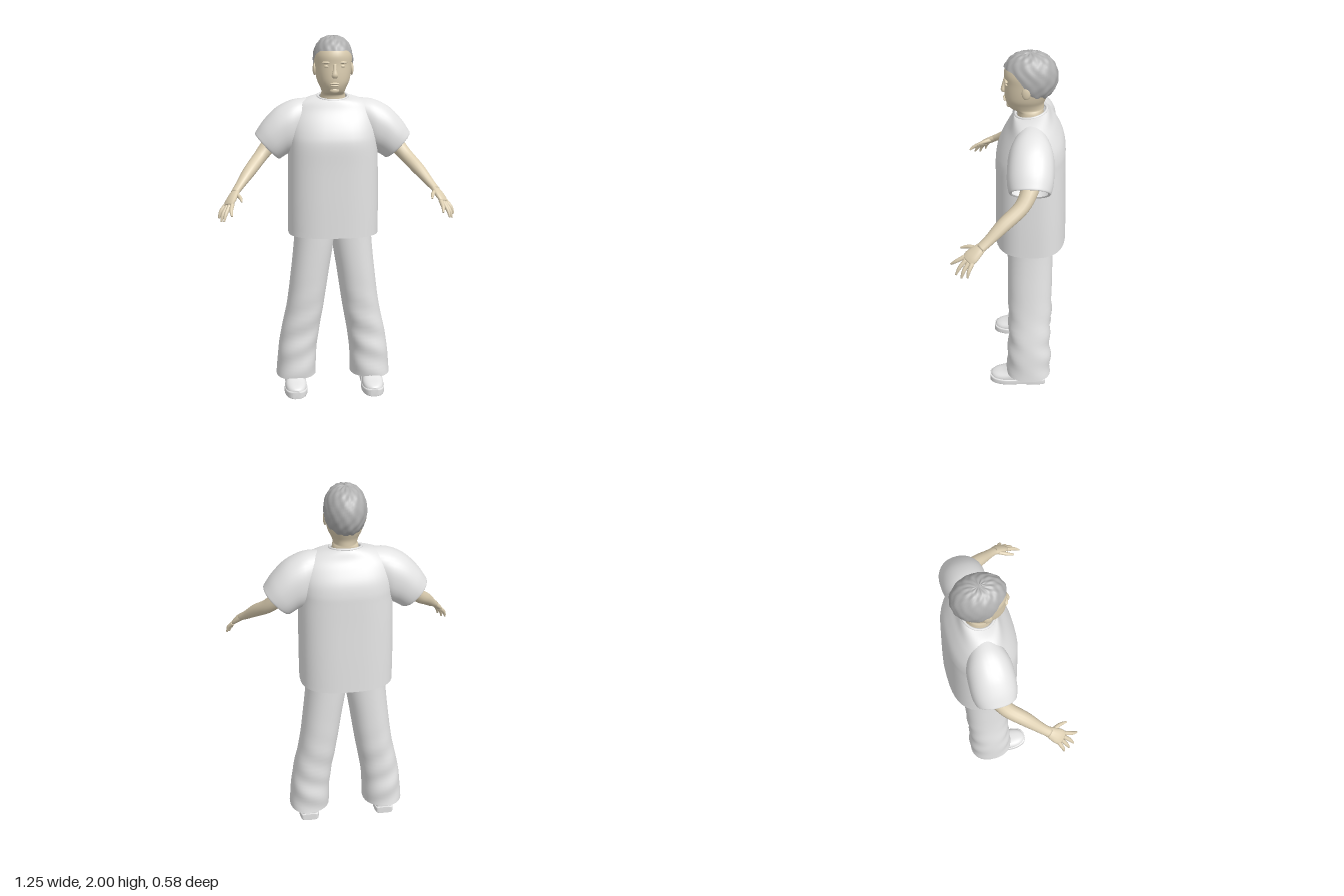
import * as THREE from 'three';

const V = (x, y, z) => new THREE.Vector3(x, y, z);
const SEG = 40;

// Superellipse ring around c with half axes u and v
function ring(c, u, v, e = 2, seg = SEG) {
  const p = (t) => Math.sign(t) * Math.abs(t) ** (2 / e);
  return Array.from({ length: seg }, (_, i) => {
    const a = (i / seg) * Math.PI * 2;
    return c.clone().addScaledVector(u, p(Math.cos(a))).addScaledVector(v, p(Math.sin(a)));
  });
}

// Skin over rings that follow each other along u x v, with optional end caps
function loft(rings, capStart = true, capEnd = true) {
  const n = rings[0].length, pts = rings.flat(), idx = [];
  for (let j = 0; j < rings.length - 1; j++) {
    for (let i = 0; i < n; i++) {
      const a = j * n + i, b = j * n + ((i + 1) % n);
      idx.push(a, b, b + n, a, b + n, a + n);
    }
  }
  const cap = (j, flip) => {
    const mid = pts.length;
    pts.push(rings[j].reduce((s, q) => s.add(q), V(0, 0, 0)).divideScalar(n));
    for (let i = 0; i < n; i++) {
      const a = j * n + i, b = j * n + ((i + 1) % n);
      flip ? idx.push(mid, b, a) : idx.push(mid, a, b);
    }
  };
  if (capStart) cap(0, true);
  if (capEnd) cap(rings.length - 1, false);
  const g = new THREE.BufferGeometry().setFromPoints(pts);
  g.setIndex(idx);
  g.computeVertexNormals();
  return g;
}

// Smooth in-between rows for a table of section numbers
function refine(rows, steps = 4) {
  const out = [];
  for (let k = 0; k < rows.length - 1; k++) {
    const [a, b, c, d] = [-1, 0, 1, 2].map((o) => rows[Math.min(rows.length - 1, Math.max(0, k + o))]);
    for (let s = 0; s < steps; s++) {
      const t = s / steps;
      out.push(b.map((p1, i) => 0.5 * (2 * p1 + (c[i] - a[i]) * t
        + (2 * a[i] - 5 * p1 + 4 * c[i] - d[i]) * t * t + (3 * p1 - a[i] - 3 * c[i] + d[i]) * t ** 3)));
    }
  }
  out.push(rows[rows.length - 1]);
  return out;
}

// Rounded limb through rows of [x, y, z, half width, half thickness]
function limb(rows, wide = V(0.6, -0.2, -0.8), seg = 14) {
  const r = refine(rows, 4), at = (i) => V(...r[Math.min(r.length - 1, Math.max(0, i))].slice(0, 3));
  return loft(r.map((q, i) => {
    const t = at(i + 1).sub(at(i - 1)).normalize();
    const u = wide.clone().addScaledVector(t, -wide.dot(t)).normalize();
    const v = t.clone().cross(u);
    return ring(at(i), u.multiplyScalar(q[3]), v.multiplyScalar(q[4]), 2, seg);
  }));
}

// Stack of horizontal sections [y, xMin, xMax, zFront, zBack, exponent, tilt]
function stack(rows, capStart, capEnd, steps = 4) {
  return loft(refine(rows, steps).map(([y, x0, x1, zf, zb, e, tilt = 0]) => ring(
    V((x0 + x1) / 2, y, (zf + zb) / 2), V((x1 - x0) / 2, 0, 0), V(0, tilt, (zb - zf) / 2), e)), capStart, capEnd);
}

function ball(x, y, z, rx, ry, rz) {
  return new THREE.SphereGeometry(1, 16, 12).scale(rx, ry, rz).translate(x, y, z);
}

function mirrored(geo) {
  const g = geo.clone().scale(-1, 1, 1), ix = g.index;
  for (let i = 0; i < ix.count; i += 3) {
    const a = ix.getX(i);
    ix.setX(i, ix.getX(i + 2));
    ix.setX(i + 2, a);
  }
  g.computeVertexNormals();
  return g;
}

// Short hair: a cap whose lower edge follows the hairline, with raised clumps
function hairGeometry() {
  const n = 72, rows = [];
  for (let j = 1; j <= 26; j++) {
    rows.push(Array.from({ length: n }, (_, i) => {
      const phi = (i / n) * Math.PI * 2, back = (1 - Math.sin(phi)) / 2;
      const edge = THREE.MathUtils.lerp(1.15, 2.6, THREE.MathUtils.smoothstep(back, 0.12, 0.8));
      const th = (j / 26) * edge;
      const clump = 1 + 0.022 * Math.sin(phi * 12 + Math.sin(th * 5)) * Math.sin(th * 9 + phi);
      const r = Math.sin(th) ** 0.8 * clump;
      return V(0.108 * r * Math.cos(phi), 1.87 + 0.127 * Math.cos(th) * clump, -0.084 + 0.14 * r * Math.sin(phi));
    }));
  }
  return loft(rows.reverse().map((r) => r.reverse()), false, true);
}

export function createModel() {
  const model = new THREE.Group();
  const mat = (name, color, side = THREE.FrontSide) => {
    const m = new THREE.MeshStandardMaterial({ color, side });
    m.name = name;
    return m;
  };
  const cloth = mat('white cloth', 0xe4e4e4, THREE.DoubleSide);
  const skin = mat('skin', 0xddcfb2);
  const hair = mat('grey hair', 0xb0b0b0, THREE.DoubleSide);
  const add = (name, geo, material) => {
    const m = new THREE.Mesh(geo, material);
    m.name = name;
    model.add(m);
  };
  const pair = (name, geo, material) => {
    add(name + 'Left', geo, material);
    add(name + 'Right', mirrored(geo), material);
  };

  // Head and neck
  add('head', stack([
    [1.60, 0.078, -0.02, -0.17], [1.675, 0.068, -0.02, -0.155], [1.692, 0.064, -0.005, -0.155],
    [1.703, 0.062, 0.02, -0.155], [1.73, 0.072, 0.036, -0.157], [1.76, 0.086, 0.043, -0.17],
    [1.80, 0.095, 0.045, -0.188], [1.85, 0.1, 0.044, -0.2], [1.90, 0.1, 0.045, -0.2],
    [1.95, 0.083, 0.02, -0.175], [1.982, 0.04, -0.035, -0.13],
  ].map(([y, w, f, b]) => [y, -w, w, f, b, 2.1]), true, true), skin);

  // Face and ears
  add('nose', limb([[0, 1.855, 0.04, 0.009, 0.008], [0, 1.82, 0.047, 0.011, 0.01],
    [0, 1.795, 0.051, 0.017, 0.012], [0, 1.783, 0.046, 0.012, 0.007]], V(1, 0, 0)), skin);
  add('upperLip', ball(0, 1.752, 0.042, 0.026, 0.006, 0.009), skin);
  add('lowerLip', ball(0, 1.741, 0.041, 0.022, 0.007, 0.009), skin);
  add('chin', ball(0, 1.714, 0.022, 0.026, 0.016, 0.013), skin);
  pair('brow', ball(0.042, 1.862, 0.032, 0.026, 0.007, 0.011), skin);
  pair('eye', ball(0.041, 1.842, 0.031, 0.016, 0.007, 0.009), skin);
  pair('ear', ball(0.1, 1.822, -0.068, 0.01, 0.034, 0.022).rotateY(0), skin);
  add('hair', hairGeometry(), hair);

  // Loose shirt body, open at hem and neck
  add('shirtBody', stack([
    [0.92, 0.25, 0.093, -0.288, 2.7], [1.1, 0.25, 0.092, -0.284, 2.7], [1.3, 0.247, 0.09, -0.278, 2.7],
    [1.42, 0.245, 0.09, -0.275, 2.6], [1.48, 0.247, 0.078, -0.272, 2.5], [1.54, 0.245, 0.053, -0.258, 2.4],
    [1.60, 0.232, 0.02, -0.226, 2.3], [1.64, 0.198, 0.004, -0.2, 2.2], [1.665, 0.14, -0.003, -0.185, 2.1],
    [1.675, 0.084, -0.008, -0.175, 2],
  ].map(([y, w, f, b, e], i) => [y, -w, w, f, b, e, [0.008, 0.016][i - 8] ?? 0]), false, false), cloth);
  add('collar', new THREE.TorusGeometry(0.082, 0.007, 8, 40).rotateX(Math.PI / 2 + 0.19)
    .translate(0, 1.674, -0.091), cloth);

  // Sleeves: rows of top x, top y, bottom x, bottom y, half depth
  const sleeveRows = [[0.12, 1.665, 0.17, 1.41, 0.085], [0.215, 1.657, 0.215, 1.375, 0.113],
    [0.305, 1.615, 0.25, 1.36, 0.118], [0.375, 1.547, 0.275, 1.345, 0.116],
    [0.415, 1.49, 0.288, 1.336, 0.108], [0.424, 1.472, 0.298, 1.337, 0.1], [0.412, 1.465, 0.302, 1.348, 0.09]];
  pair('sleeve', loft(refine(sleeveRows).map(([tx, ty, bx, by, d]) => ring(
    V((tx + bx) / 2, (ty + by) / 2, -0.1), V((tx - bx) / 2, (ty - by) / 2, 0), V(0, 0, d), 2.2)), true, false), cloth);

  // Arms and hands
  pair('arm', limb([[0.27, 1.49, -0.12, 0.052, 0.05], [0.34, 1.42, -0.1, 0.046, 0.044], [0.4, 1.35, -0.06, 0.04, 0.037],
    [0.46, 1.285, 0.025, 0.037, 0.033], [0.51, 1.225, 0.095, 0.028, 0.023], [0.538, 1.193, 0.138, 0.026, 0.018]]), skin);
  pair('palm', limb([[0.527, 1.204, 0.122, 0.024, 0.017], [0.543, 1.183, 0.15, 0.034, 0.018],
    [0.56, 1.158, 0.18, 0.041, 0.016], [0.571, 1.14, 0.199, 0.036, 0.011]]), skin);
  const fingers = {
    index: [[0.548, 1.15, 0.213], [0.554, 1.125, 0.255], [0.55, 1.102, 0.284]],
    middle: [[0.562, 1.143, 0.205], [0.582, 1.105, 0.238], [0.592, 1.068, 0.256]],
    ring: [[0.575, 1.136, 0.191], [0.599, 1.097, 0.216], [0.608, 1.06, 0.228]],
    little: [[0.585, 1.138, 0.173], [0.611, 1.106, 0.189], [0.621, 1.073, 0.196]],
    thumb: [[0.527, 1.188, 0.155], [0.508, 1.182, 0.198], [0.499, 1.168, 0.238]],
  };
  for (const [name, pts] of Object.entries(fingers)) {
    const r = [0.0115, 0.0098, 0.005];
    pair(name + 'Finger', limb(pts.map((p, i) => [...p, r[i], r[i]]), V(0.6, -0.2, -0.8), 10), skin);
  }

  // Wide trouser legs with soft folds towards the hem
  const legRows = refine([[0.075, 0.1, 0.328, 0.024, -0.226], [0.2, 0.097, 0.317, 0.022, -0.225],
    [0.32, 0.083, 0.3, 0.016, -0.218], [0.5, 0.052, 0.262, 0.02, -0.222], [0.7, 0.022, 0.236, 0.024, -0.222],
    [0.83, 0.001, 0.222, 0.025, -0.222], [0.92, -0.01, 0.215, 0.025, -0.222], [1.02, -0.015, 0.21, 0.025, -0.222]], 6);
  pair('trouserLeg', loft(legRows.map(([y, x0, x1, f, b]) => {
    const r = ring(V((x0 + x1) / 2, y, (f + b) / 2), V((x1 - x0) / 2, 0, 0), V(0, 0, (b - f) / 2), 2.2);
    const depth = 0.005 * THREE.MathUtils.smoothstep(0.7 - y, 0, 0.4);
    r.forEach((p, i) => { p.z += depth * Math.sin(y * 42 + (i / SEG) * Math.PI * 4); });
    return r;
  }), false, true), cloth);

  // Shoes: rows of z, half width, height
  const shoeRows = [[-0.19, 0.03, 0.085], [-0.183, 0.043, 0.1], [-0.14, 0.052, 0.108], [-0.06, 0.053, 0.108],
    [-0.01, 0.058, 0.098], [0.04, 0.06, 0.078], [0.085, 0.05, 0.066], [0.11, 0.032, 0.056], [0.118, 0.014, 0.048]];
  const shoe = (grow, height) => loft(refine(shoeRows).map(([z, w, h]) => ring(
    V(0.22, height(h) / 2, z * (1 + grow)), V(w + grow * 0.1, 0, 0), V(0, height(h) / 2, 0), grow ? 6 : 2.6)));
  pair('shoe', shoe(0, (h) => h), cloth);
  pair('shoeSole', shoe(0.05, () => 0.042), cloth);

  return model;
}
